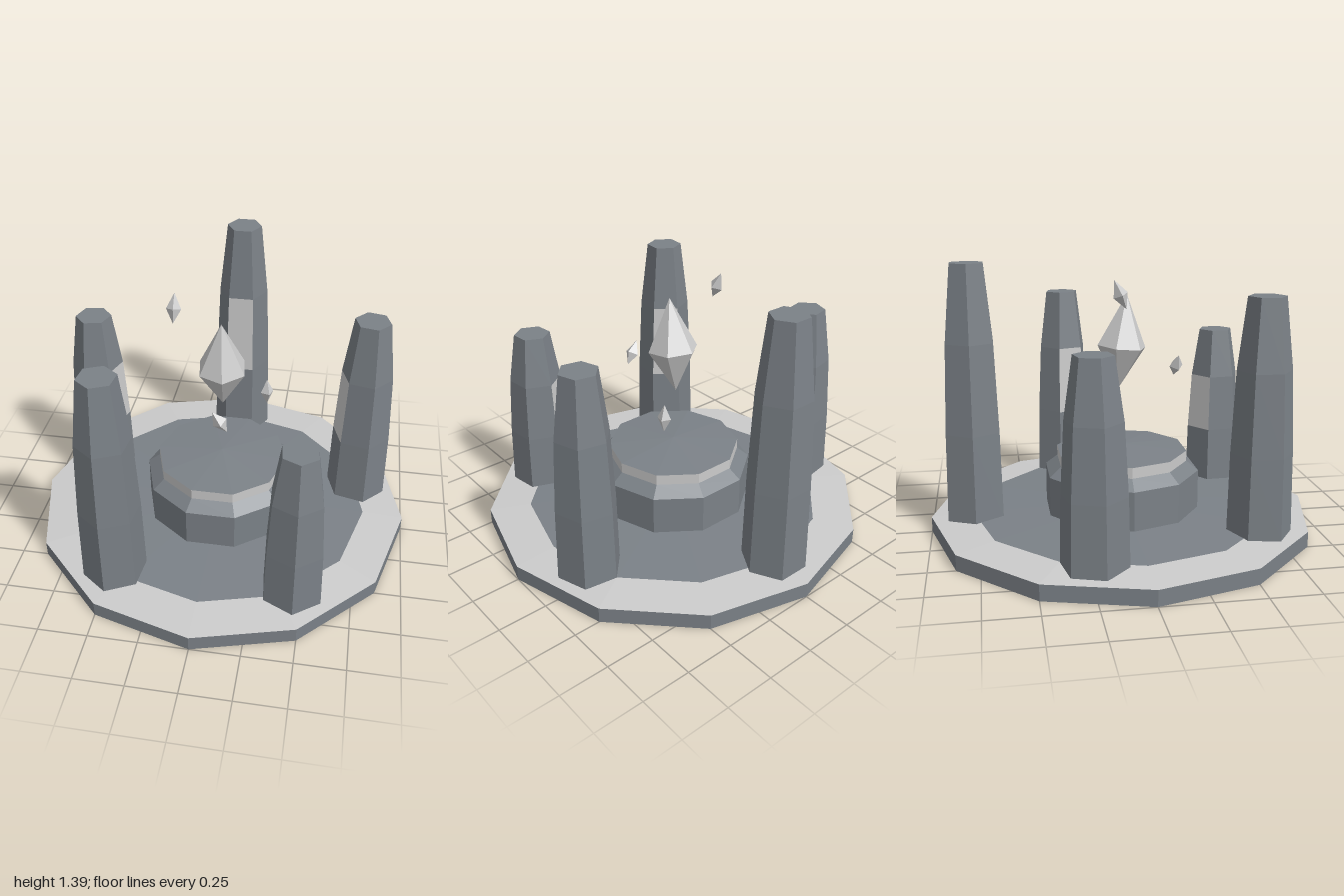
import * as THREE from 'three';

const stone = new THREE.MeshStandardMaterial({ color: 0x7b8187, flatShading: true });
const pale = new THREE.MeshStandardMaterial({ color: 0xcccccc, flatShading: true });

// Faceted ring of flat sides from a [radius, height] profile, listed bottom to top
function facet(name, material, profile, sides, start = 0, length = Math.PI * 2) {
  const points = profile.map(([r, y]) => new THREE.Vector2(r, y));
  const mesh = new THREE.Mesh(new THREE.LatheGeometry(points, sides, start, length), material);
  mesh.name = name;
  return mesh;
}

// Tapered six-sided standing stone with a pale panel on its inner (+z) face
function makePillar(name, top) {
  const pillar = new THREE.Group();
  pillar.name = name;
  const base = 0.085;
  const level = (t) => base + (top - base) * t;
  const foot = [0.163, base], low = [0.155, level(0.35)];
  const high = [0.136, level(0.7)], head = [0.094, top];
  const step = Math.PI / 3, start = step / 2;
  pillar.add(
    facet('pillarFoot', stone, [[0, base], foot, low], 6, start),
    facet('pillarShaft', stone, [low, high], 5, start, step * 5),
    facet('pillarPanel', pale, [low, high], 1, -start, step),
    facet('pillarHead', stone, [high, head, [0, top]], 6, start)
  );
  return pillar;
}

// Double-pointed crystal centred on its widest ring
function makeCrystal(name, sides, radius, up, down, position, rotation, start = 0) {
  const crystal = facet(name, pale, [[0, -down], [radius, 0], [0, up]], sides, start);
  crystal.position.set(...position);
  crystal.rotation.set(...rotation);
  return crystal;
}

export function createModel() {
  const model = new THREE.Group();
  model.name = 'crystalShrine';

  // Round floor: slab, pale rim and slightly domed inner paving
  model.add(
    facet('baseSlab', stone, [[0, 0], [1, 0], [1, 0.08]], 12),
    facet('baseRim', pale, [[1, 0.08], [0.785, 0.093]], 12),
    facet('innerFloor', stone, [[0.785, 0.093], [0, 0.112]], 12)
  );

  // Ten-sided altar with a pale band under its shallow cap
  const turn = Math.PI / 2;
  model.add(
    facet('altarBody', stone, [[0.41, 0.1], [0.41, 0.305], [0.347, 0.355]], 10, turn),
    facet('altarBand', pale, [[0.347, 0.355], [0.347, 0.41]], 10, turn),
    facet('altarCap', stone, [[0.347, 0.41], [0, 0.435]], 10, turn)
  );

  // Five pillars in a ring, facing the altar
  const pillars = [
    ['backPillar', 1.395], ['rightPillar', 1.06], ['frontRightPillar', 1.26],
    ['frontLeftPillar', 0.96], ['leftPillar', 1.16]
  ];
  pillars.forEach(([name, top], i) => {
    const angle = Math.PI + (i * Math.PI * 2) / 5;
    const pillar = makePillar(name, top);
    pillar.position.set(Math.sin(angle) * 0.77, 0, Math.cos(angle) * 0.77);
    pillar.rotation.y = angle + Math.PI;
    model.add(pillar);
  });

  // Floating crystals
  model.add(
    makeCrystal('mainCrystal', 6, 0.13, 0.27, 0.23, [0, 0.957, 0.003], [0.1, 0, 0], 0.15),
    makeCrystal('highShard', 4, 0.038, 0.08, 0.073, [-0.25, 1.25, -0.042], [-0.4, 0, 0], 0.1),
    makeCrystal('lowShard', 4, 0.036, 0.075, 0.075, [0.213, 0.71, -0.185], [0, 0, 0.03], 0.5),
    makeCrystal('frontShard', 4, 0.038, 0.07, 0.067, [0.037, 0.838, 0.3], [0.1, 0, 0.54], 0.3)
  );
  return model;
}
